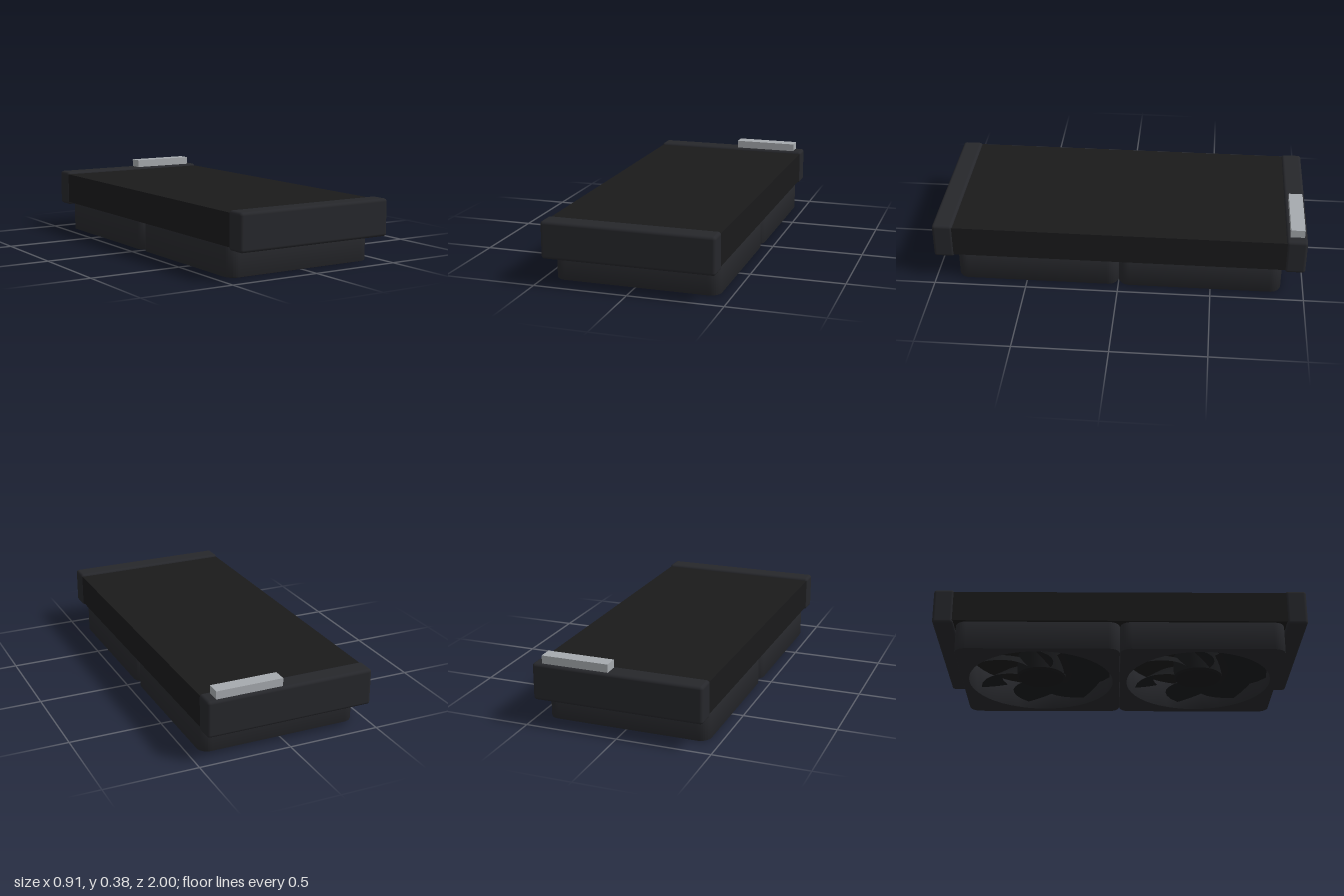
import * as THREE from 'three';
import { toCreasedNormals } from 'three/addons/utils/BufferGeometryUtils.js';
import { RoundedBoxGeometry } from 'three/addons/geometries/RoundedBoxGeometry.js';

const paint = (color, side = THREE.FrontSide) => new THREE.MeshStandardMaterial({ color, side });
const casing = paint(0x26272b);
const coreBlack = paint(0x1a1a1b);
const bladeBlack = paint(0x18191b, THREE.DoubleSide);
const silver = paint(0xa6aaae);

function add(parent, name, geometry, material, x = 0, y = 0, z = 0) {
  const mesh = new THREE.Mesh(geometry, material);
  mesh.name = name;
  mesh.position.set(x, y, z);
  parent.add(mesh);
  return mesh;
}

// Rounded square housing with a round opening, standing from y = 0 to 0.16
function frameGeometry() {
  const h = 0.44, r = 0.06, bevel = 0.006;
  const shape = new THREE.Shape();
  shape.moveTo(-h + r, -h);
  [[h - r, -h + r, -Math.PI / 2], [h - r, h - r, 0], [-h + r, h - r, Math.PI / 2], [-h + r, -h + r, Math.PI]]
    .forEach(([cx, cy, a]) => shape.absarc(cx, cy, r, a, a + Math.PI / 2, false));
  const hole = new THREE.Path();
  hole.absarc(0, 0, 0.4, 0, Math.PI * 2, true);
  shape.holes.push(hole);
  const geometry = new THREE.ExtrudeGeometry(shape, {
    depth: 0.16 - 2 * bevel, curveSegments: 24, bevelSegments: 2,
    bevelThickness: bevel, bevelSize: bevel, bevelOffset: -bevel,
  });
  geometry.translate(0, 0, bevel).rotateX(-Math.PI / 2);
  return toCreasedNormals(geometry, 0.6);
}

// Swept, pitched blade: u runs from hub to tip, v across the chord
function bladeGeometry() {
  const geometry = new THREE.PlaneGeometry(1, 1, 8, 4);
  const p = geometry.attributes.position;
  for (let i = 0; i < p.count; i++) {
    const u = p.getX(i) + 0.5, v = p.getY(i) + 0.5;
    const radius = 0.12 + 0.265 * u;
    const angle = 0.65 * u * u + v * (0.6 - 0.05 * u);
    p.setXYZ(i, radius * Math.cos(angle), 0.035 + 0.085 * v, radius * Math.sin(angle));
  }
  geometry.computeVertexNormals();
  return geometry;
}

// Hub with a softened lower edge
function hubGeometry() {
  const profile = [[0, 0.022], [0.125, 0.022], [0.135, 0.032], [0.135, 0.15], [0, 0.15]];
  const geometry = new THREE.LatheGeometry(profile.map(([x, y]) => new THREE.Vector2(x, y)), 40);
  return toCreasedNormals(geometry, 0.5);
}

export function createModel() {
  const model = new THREE.Group();
  model.name = 'radiator';

  // Finned core between the two end tanks
  add(model, 'core', new THREE.BoxGeometry(0.9, 0.17, 1.8), coreBlack, 0, 0.245, 0);
  for (const [name, s] of [['frontTank', 1], ['backTank', -1]]) {
    add(model, name, new RoundedBoxGeometry(0.91, 0.197, 0.11, 4, 0.016), casing, 0, 0.2435, s * 0.945);
  }

  // Connector block on the back tank
  add(model, 'connectorBlock', new THREE.BoxGeometry(0.36, 0.05, 0.075), silver, 0.225, 0.36, -0.947);

  // Two fans under the core
  const frame = frameGeometry(), blade = bladeGeometry(), hub = hubGeometry();
  const bladeCount = 7;
  for (const [name, s] of [['frontFan', 1], ['backFan', -1]]) {
    const fan = new THREE.Group();
    fan.name = name;
    fan.position.z = s * 0.44;
    add(fan, 'fanFrame', frame, casing);
    add(fan, 'fanHub', hub, bladeBlack);
    for (let i = 0; i < bladeCount; i++) {
      add(fan, 'fanBlade', blade, bladeBlack).rotation.y = (i * Math.PI * 2) / bladeCount;
    }
    model.add(fan);
  }
  return model;
}
